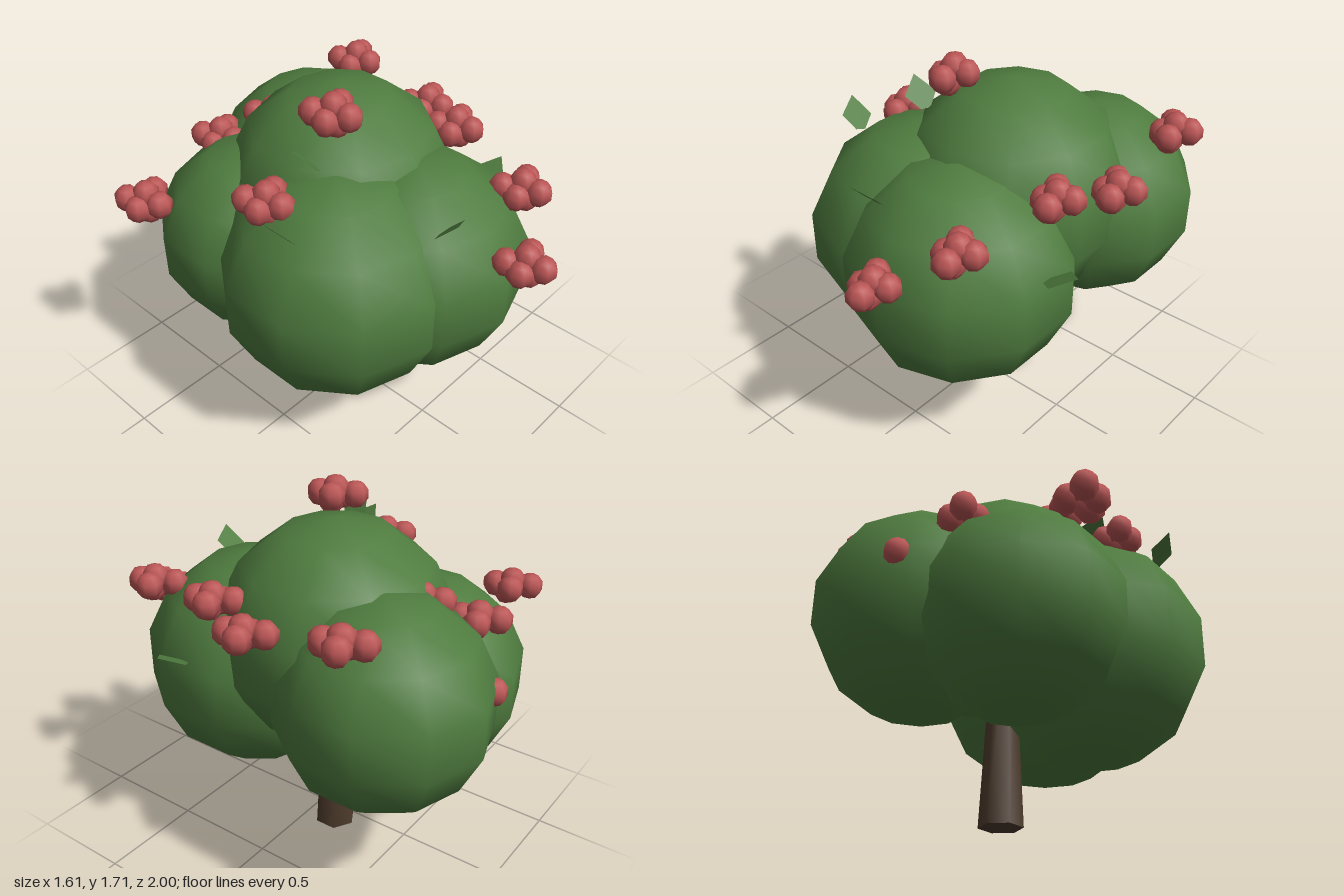
import * as THREE from 'three';

function material(name, color, extra = {}) {
  const m = new THREE.MeshStandardMaterial({ color, ...extra });
  m.name = name;
  return m;
}

// Kite-shaped leaf lying in the xy plane, tip towards +y, slightly folded along its midrib
function leafGeometry() {
  const s = new THREE.Shape();
  s.moveTo(-0.025, -0.085);
  s.lineTo(0.025, -0.085);
  s.lineTo(0.08, -0.01);
  s.lineTo(0, 0.09);
  s.lineTo(-0.08, -0.01);
  s.closePath();
  return new THREE.ShapeGeometry(s);
}

export function createModel() {
  const green = material('leafGreen', 0x4f7c3f, { side: THREE.DoubleSide });
  const red = material('blossomRed', 0xbb5555);
  const brown = material('barkBrown', 0x4e3b2c);

  const tree = new THREE.Group();
  tree.name = 'floweringTree';

  // Tapered six-sided trunk
  const trunk = new THREE.Mesh(new THREE.CylinderGeometry(0.06, 0.102, 0.8, 6), brown);
  trunk.name = 'trunk';
  trunk.position.set(0.08, 0.4, -0.137);
  tree.add(trunk);

  // Crown of overlapping ten-sided balls: x, y, z, equator radius, half height
  const ball = new THREE.SphereGeometry(1, 10, 7);
  ball.rotateY(Math.PI / 10);
  [
    [-0.223, 0.845, 0.13, 0.569, 0.555],
    [0.129, 0.844, 0.285, 0.545, 0.533],
    [0.08, 1.066, -0.137, 0.558, 0.546],
    [0.267, 0.925, -0.518, 0.5, 0.497],
    [-0.227, 0.825, -0.42, 0.486, 0.478],
  ].forEach(([x, y, z, r, h], i) => {
    const m = new THREE.Mesh(ball, green);
    m.name = `crownBall${i + 1}`;
    m.position.set(x, y, z);
    m.scale.set(r, h, r);
    tree.add(m);
  });

  // Blossom clusters, each a handful of small balls
  const petal = new THREE.SphereGeometry(0.064, 7, 5);
  const petalSpots = [
    [-0.055, 0, -0.07], [0.06, 0.01, -0.02], [0.01, 0, 0.08],
    [0, 0.03, 0], [-0.06, -0.02, 0.01], [-0.01, -0.035, 0.03],
  ];
  [
    [0.18, 1.07, 0.86], [0.44, 1.23, 0.64], [0.56, 1.31, 0.17],
    [0.68, 1.28, -0.1], [0.66, 1.37, -0.57], [-0.14, 1.62, 0.03],
    [-0.5, 1.33, -0.02], [-0.69, 1.14, -0.63], [-0.15, 1.2, -0.73],
    [0.04, 1.31, -0.55], [0.1, 1.0, -0.85],
  ].forEach((spot, i) => {
    const cluster = new THREE.Group();
    cluster.name = `blossomCluster${i + 1}`;
    cluster.position.set(...spot);
    for (const p of petalSpots) {
      const m = new THREE.Mesh(petal, red);
      m.name = 'blossom';
      m.position.set(...p);
      cluster.add(m);
    }
    tree.add(cluster);
  });

  // Loose leaves: position, tip direction, surface normal
  const leaf = leafGeometry();
  [
    [[-0.63, 1.33, 0.19], [-0.6, 0.72, -0.3], [0.77, 0.64, 0]],
    [[-0.335, 1.48, 0.05], [-0.65, 0.7, -0.25], [0.67, 0.67, 0.2]],
    [[-0.08, 1.28, 0.635], [-0.4, 0.65, 0.65], [0, 0.7, -0.7]],
    [[0.7, 1.045, 0.305], [0.87, 0.45, 0], [-0.45, 0.87, 0]],
  ].forEach(([p, tip, normal], i) => {
    const yAxis = new THREE.Vector3(...tip).normalize();
    const xAxis = yAxis.clone().cross(new THREE.Vector3(...normal)).normalize();
    const zAxis = xAxis.clone().cross(yAxis);
    const m = new THREE.Mesh(leaf, green);
    m.name = `leaf${i + 1}`;
    m.quaternion.setFromRotationMatrix(new THREE.Matrix4().makeBasis(xAxis, yAxis, zAxis));
    m.position.set(...p);
    tree.add(m);
  });

  return tree;
}
